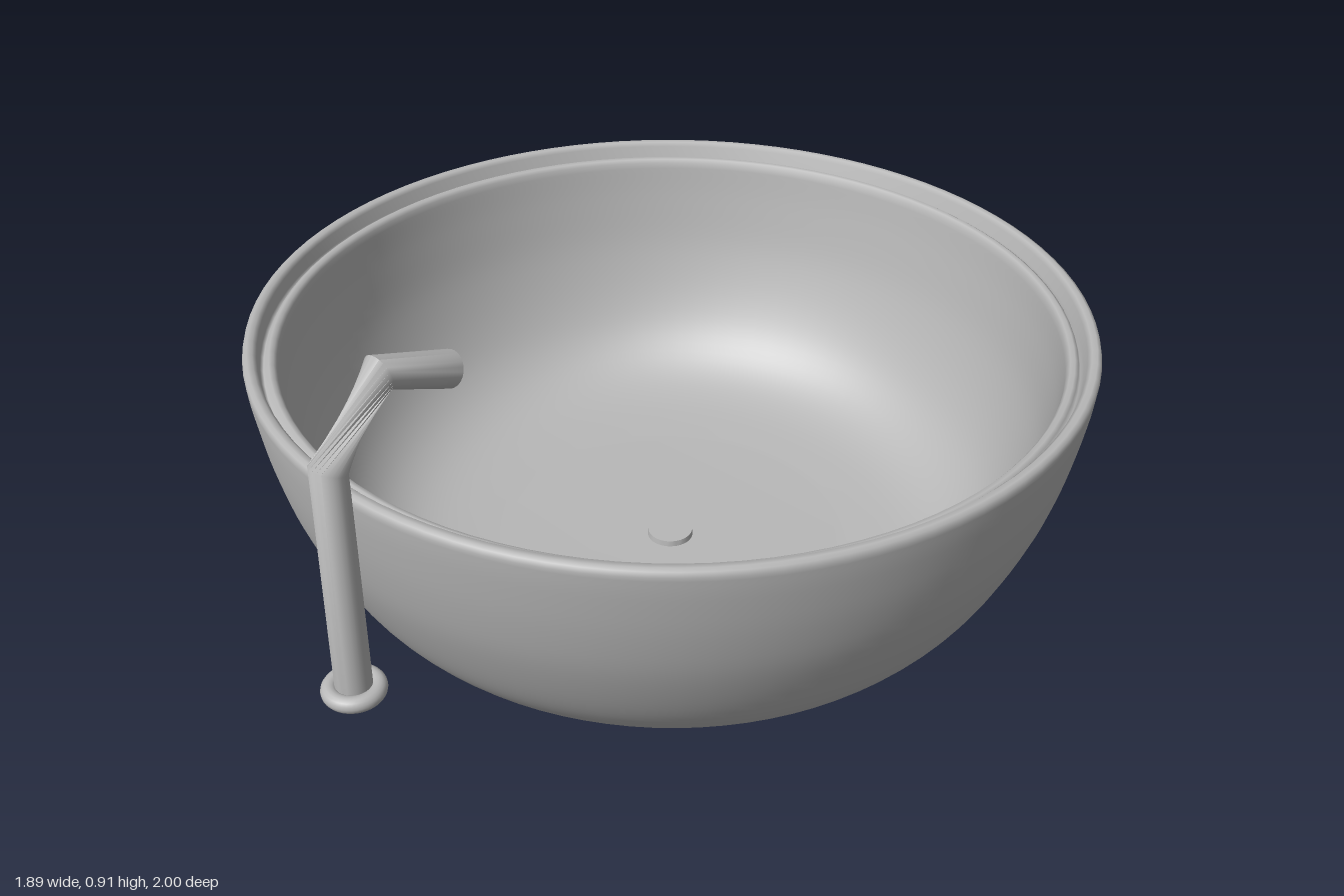
import * as THREE from 'three';
import { toCreasedNormals } from 'three/addons/utils/BufferGeometryUtils.js';

const grey = new THREE.MeshStandardMaterial({ color: 0xb8b8b8 });
grey.name = 'grey';

function add(group, name, geometry, x = 0, y = 0, z = 0) {
  const mesh = new THREE.Mesh(geometry, grey);
  mesh.name = name;
  mesh.position.set(x, y, z);
  group.add(mesh);
  return mesh;
}

const vectors = (pairs) => pairs.map(([r, y]) => new THREE.Vector2(r, y));
const smooth = (pairs, n) => new THREE.SplineCurve(vectors(pairs)).getPoints(n);

// Closed bowl section: underside, outer wall, stepped rim, inner wall, floor
function bowlGeometry() {
  const outer = smooth([
    [0.5, 0.004], [0.62, 0.02], [0.71, 0.055], [0.775, 0.12], [0.83, 0.21],
    [0.885, 0.34], [0.918, 0.46], [0.938, 0.57], [0.945, 0.63],
  ], 32);
  const rim = vectors([
    [0.942, 0.641], [0.934, 0.645], [0.922, 0.644], [0.914, 0.635], [0.91, 0.605],
    [0.903, 0.598], [0.898, 0.61], [0.89, 0.615], [0.88, 0.613], [0.874, 0.605],
  ]);
  const inner = smooth([
    [0.872, 0.59], [0.86, 0.5], [0.835, 0.37], [0.79, 0.24], [0.735, 0.145],
    [0.66, 0.08], [0.56, 0.045], [0.4, 0.03],
  ], 32);
  const profile = [...vectors([[0, 0], [0.3, 0]]), ...outer, ...rim, ...inner, ...vectors([[0.2, 0.027], [0, 0.026]])];
  return new THREE.LatheGeometry(profile, 96);
}

// Bent pipe: each ring of a cylinder is twisted, tilted and moved to its station
function spoutGeometry() {
  const radius = 0.039;
  const stations = [ // y, z, tilt and twist in degrees
    [0.175, 0.932, 0, 0],
    [0.73, 0.932, -22, 0],
    [0.876, 0.79, -78, 80],
    [0.804, 0.617, -112.6, 80],
  ];
  const geometry = new THREE.CylinderGeometry(radius, radius, 3, 24, 3);
  const position = geometry.attributes.position;
  const v = new THREE.Vector3();
  const xAxis = new THREE.Vector3(1, 0, 0);
  const yAxis = new THREE.Vector3(0, 1, 0);
  for (let i = 0; i < position.count; i++) {
    v.fromBufferAttribute(position, i);
    const [y, z, tilt, twist] = stations[Math.round(v.y + 1.5)];
    v.y = 0;
    v.applyAxisAngle(yAxis, THREE.MathUtils.degToRad(twist));
    v.applyAxisAngle(xAxis, THREE.MathUtils.degToRad(tilt));
    position.setXYZ(i, v.x, v.y + y, v.z + z);
  }
  return toCreasedNormals(geometry, 1.2);
}

export function createModel() {
  const model = new THREE.Group();
  model.name = 'basinWithTap';

  // Bowl and drain
  const basin = new THREE.Group();
  basin.name = 'basin';
  basin.position.z = -0.055;
  add(basin, 'bowl', bowlGeometry());
  const drain = new THREE.CylinderGeometry(0.053, 0.055, 0.02, 32);
  add(basin, 'drain', toCreasedNormals(drain, 0.7), 0, 0.03, 0);

  // Tap with its rounded collar
  const tap = new THREE.Group();
  tap.name = 'tap';
  add(tap, 'spout', spoutGeometry());
  const collar = new THREE.TorusGeometry(0.05, 0.018, 16, 40).rotateX(Math.PI / 2);
  add(tap, 'collar', collar, 0, 0.198, 0.932);

  model.add(basin, tap);
  return model;
}
